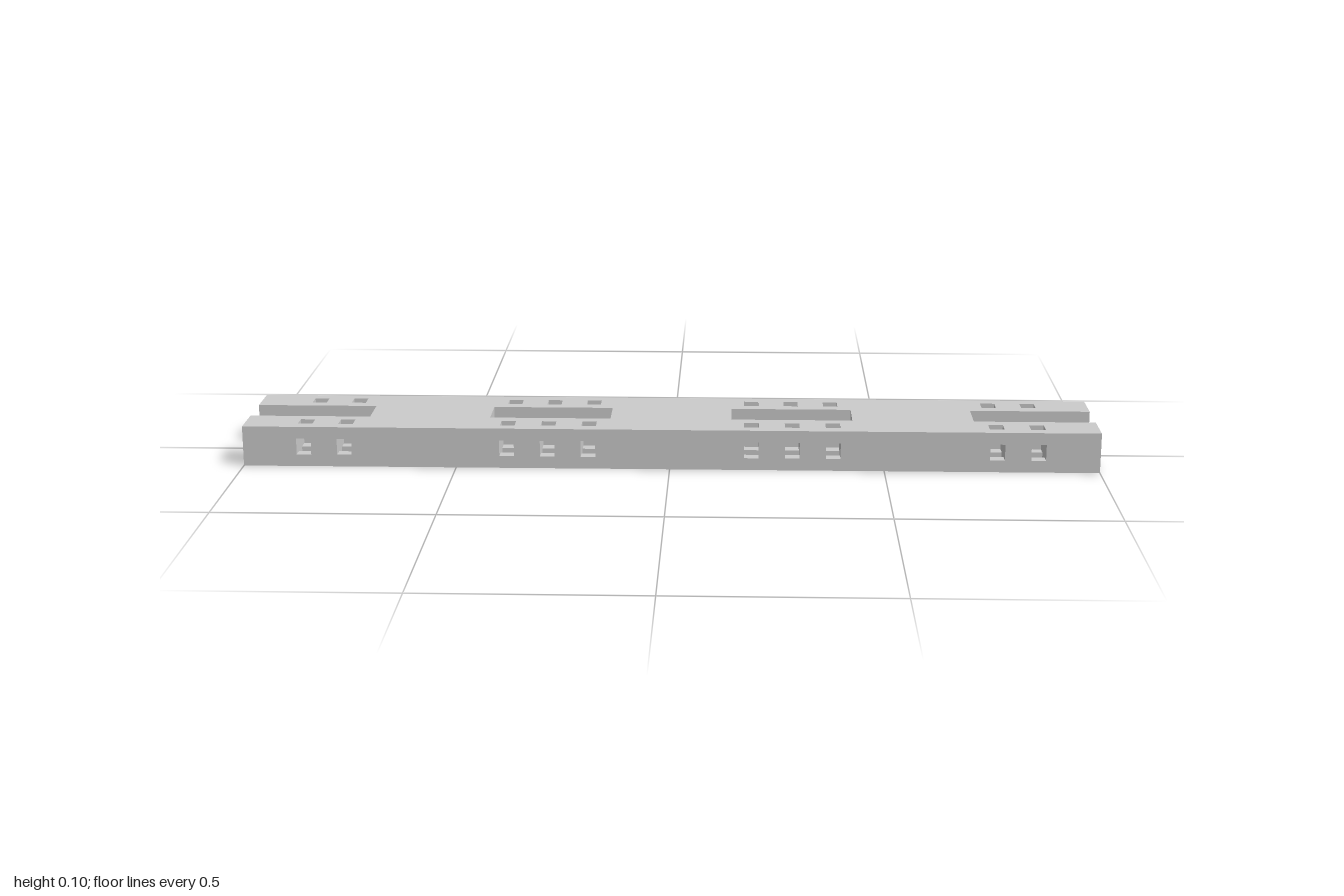
import * as THREE from 'three';

const U = 2 / 21;             // module: the beam is 21 x 1 x 3 modules
const HX = 0.18, HW = 0.2;    // half sizes of a peg hole, along and across the beam
const holes = [-9, -8, -4, -3, -2, 2, 3, 4, 8, 9];
const slots = [[-10.5, -7.5], [-4.5, -1.5], [1.5, 4.5], [7.5, 10.5]];

// Grid planes along x, y and z, in modules
const cuts = [
  [...new Set([...slots.flat(), ...holes.flatMap((h) => [h - HX, h + HX])])].sort((a, b) => a - b),
  [0, 0.5 - HW, 0.5 + HW, 1],
  [-1.5, -1 - HW, -1 + HW, -0.5, 0.5, 1 - HW, 1 + HW, 1.5],
];

// Is there material in the grid cell (i, j, k)?
function solid(cell) {
  if (cell.some((c, a) => c < 0 || c >= cuts[a].length - 1)) return false;
  const [x, y, z] = cell.map((c, a) => (cuts[a][c] + cuts[a][c + 1]) / 2);
  const inSlot = slots.some(([a, b]) => x > a && x < b);
  if (inSlot && Math.abs(z) < 0.5) return false;
  // Vertical and horizontal peg holes cross inside each rail
  if (holes.some((h) => Math.abs(x - h) < HX)) {
    if (Math.abs(y - 0.5) < HW || Math.abs(Math.abs(z) - 1) < HW) return false;
  }
  return true;
}

// Skin of the solid cells: one quad wherever material meets air
function beamGeometry() {
  const pos = [], nor = [], idx = [];
  const addFace = (cell, a, d) => {
    const u = (a + 1) % 3, v = (a + 2) % 3, base = pos.length / 3;
    for (const [s, t] of [[0, 0], [1, 0], [1, 1], [0, 1]]) {
      const p = [0, 0, 0], n = [0, 0, 0];
      p[a] = cuts[a][cell[a] + (d > 0 ? 1 : 0)] * U;
      p[u] = cuts[u][cell[u] + s] * U;
      p[v] = cuts[v][cell[v] + t] * U;
      n[a] = d;
      pos.push(...p);
      nor.push(...n);
    }
    const order = d > 0 ? [0, 1, 2, 0, 2, 3] : [0, 2, 1, 0, 3, 2];
    idx.push(...order.map((o) => base + o));
  };
  for (let i = 0; i < cuts[0].length - 1; i++)
    for (let j = 0; j < cuts[1].length - 1; j++)
      for (let k = 0; k < cuts[2].length - 1; k++) {
        const cell = [i, j, k];
        if (!solid(cell)) continue;
        for (let a = 0; a < 3; a++)
          for (const d of [-1, 1]) {
            const next = [...cell];
            next[a] += d;
            if (!solid(next)) addFace(cell, a, d);
          }
      }
  const g = new THREE.BufferGeometry();
  g.setAttribute('position', new THREE.Float32BufferAttribute(pos, 3));
  g.setAttribute('normal', new THREE.Float32BufferAttribute(nor, 3));
  g.setIndex(idx);
  return g;
}

export function createModel() {
  const group = new THREE.Group();
  group.name = 'slottedBeam';
  const beam = new THREE.Mesh(beamGeometry(), new THREE.MeshStandardMaterial({ color: 0xcccccc }));
  beam.name = 'perforatedBeam';
  group.add(beam);
  return group;
}
